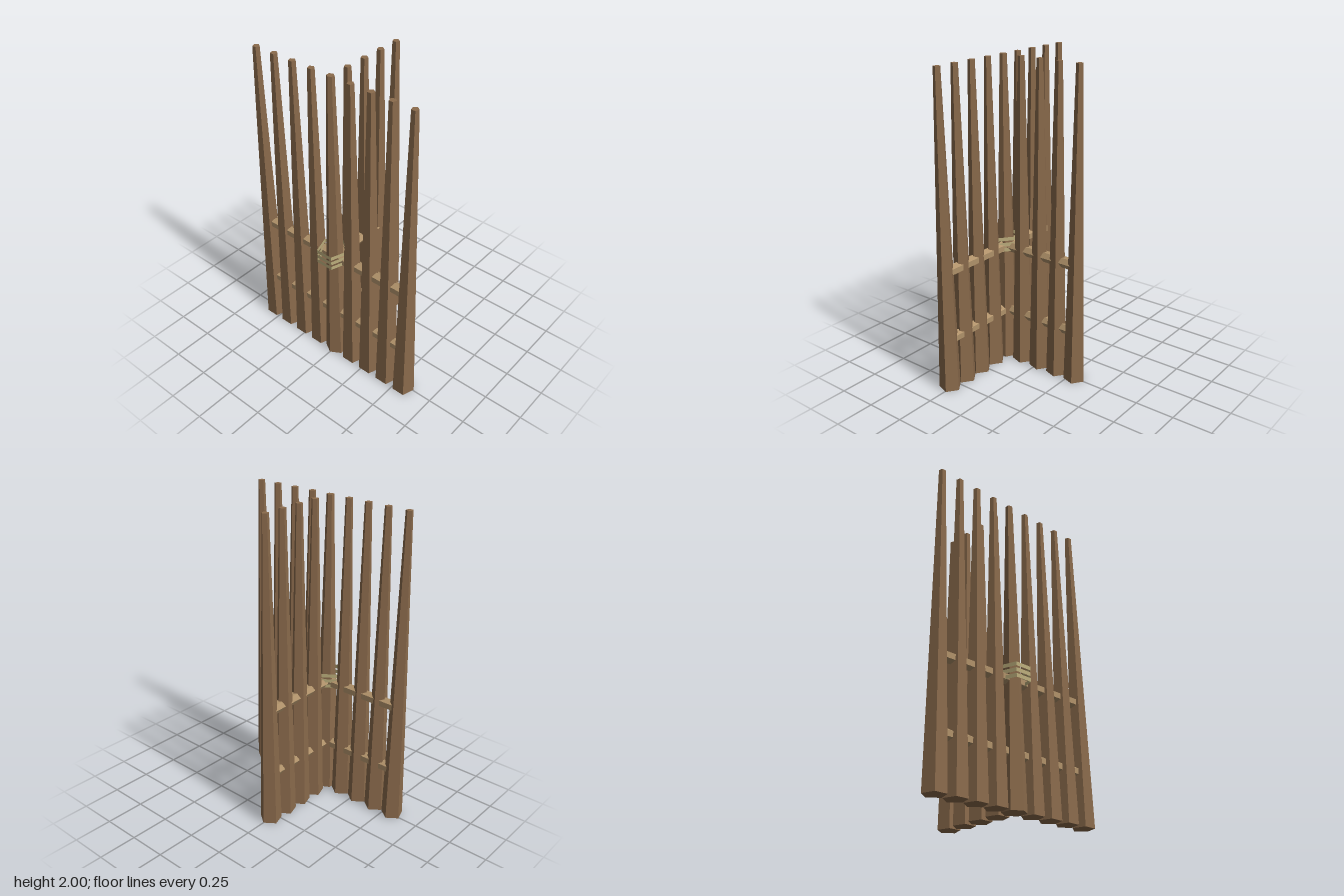
import * as THREE from 'three';

export function createModel() {
  const root = new THREE.Group();
  const mat = (name, color, extra = {}) =>
    Object.assign(new THREE.MeshStandardMaterial({ color, flatShading: true, ...extra }), { name });
  const wood = mat('brown wood', 0x8b6b4c);
  const railWood = mat('tan wood', 0xb0926a);
  const cord = mat('straw cord', 0xbcae7c, { side: THREE.DoubleSide });

  const step = 0.1387, frontZ = 0.264;
  const add = (name, geometry, material, x, y, z) => {
    const mesh = new THREE.Mesh(geometry, material);
    mesh.name = name;
    mesh.position.set(x, y, z);
    root.add(mesh);
  };

  // Tapered posts: five-sided with one corner to the back, six-sided at the junction
  const postGeo = new THREE.CylinderGeometry(0.022, 0.07, 2, 5).rotateY(Math.PI);
  const cornerGeo = new THREE.CylinderGeometry(0.023, 0.075, 2, 6);
  for (let i = -4; i <= 4; i++) {
    if (i !== 0) add('frontPost', postGeo, wood, i * step, 1, frontZ);
  }
  add('junctionPost', cornerGeo, wood, 0, 1, frontZ);
  for (let i = 1; i <= 4; i++) add('backPost', postGeo, wood, 0, 1, frontZ - i * step);

  // Six-sided rails: the front one has a ridge on top, the back one a flat top
  const frontRail = new THREE.CylinderGeometry(0.036, 0.036, step * 8, 6)
    .rotateY(Math.PI / 6).rotateZ(Math.PI / 2);
  const backRail = new THREE.CylinderGeometry(0.036, 0.036, step * 4, 6)
    .rotateY(Math.PI / 6).rotateX(Math.PI / 2);
  for (const y of [0.335, 0.781]) {
    add('frontRail', frontRail, railWood, 0, y, frontZ - 0.004);
    add('backRail', backRail, railWood, 0, y, frontZ - step * 2);
  }

  // Cord bands lashed round the junction post
  const band = new THREE.CylinderGeometry(0.096, 0.096, 0.024, 5, 1, true).rotateY(Math.PI);
  for (let i = 0; i < 3; i++) add('cordBand', band, cord, 0, 0.77 + i * 0.036, 0.284);

  return root;
}
